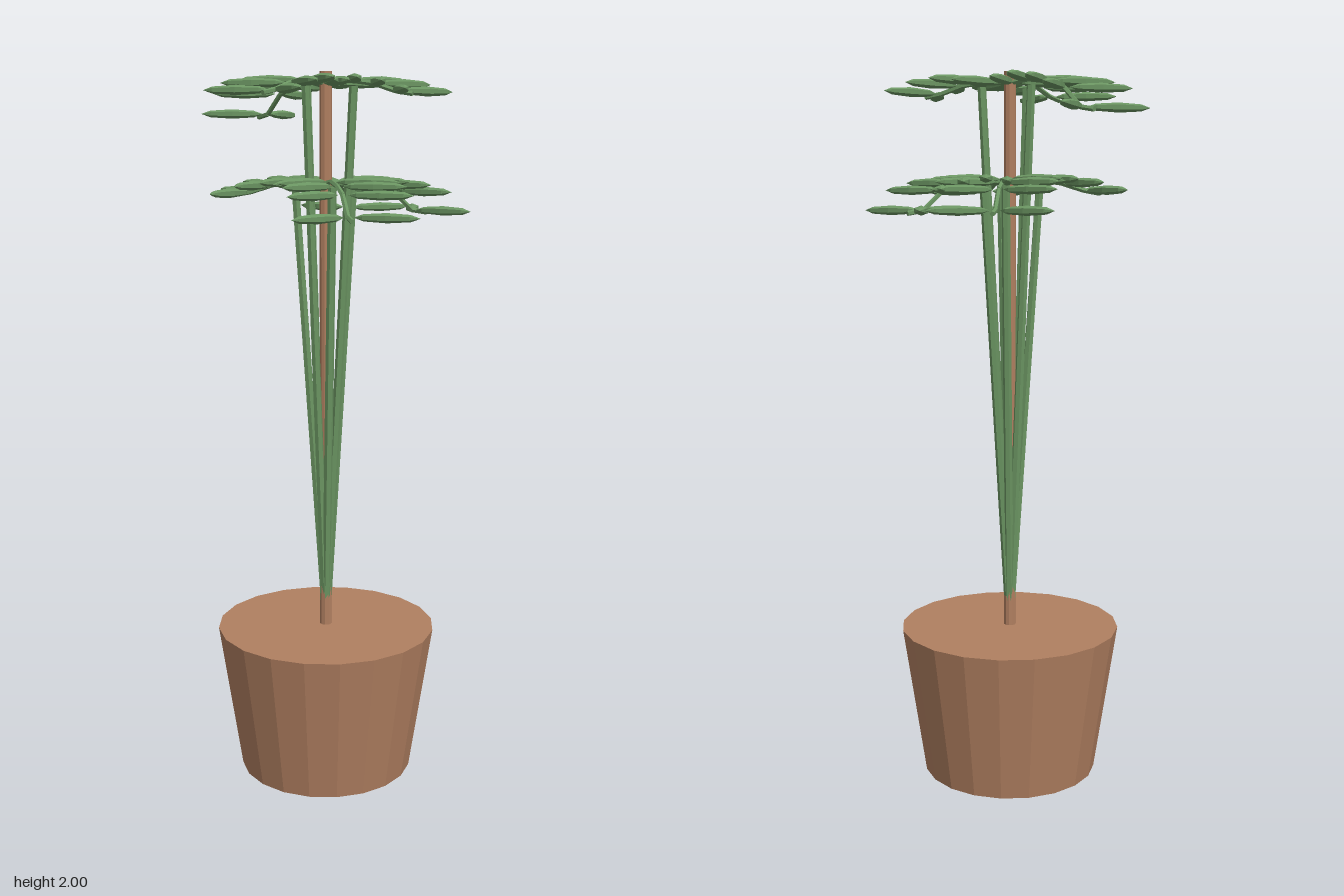
import * as THREE from 'three';

const green = new THREE.MeshStandardMaterial({ color: 0x6b9562, flatShading: true });
green.name = 'leaf green';
const clay = new THREE.MeshStandardMaterial({ color: 0xb07f60, flatShading: true });
clay.name = 'clay brown';

const POT_HEIGHT = 0.43;

// Straight rod between two points
function rod(name, a, b, radius, sides, material) {
  const geometry = new THREE.CylinderGeometry(radius, radius, a.distanceTo(b), sides);
  const mesh = new THREE.Mesh(geometry, material);
  mesh.name = name;
  mesh.position.copy(a).add(b).multiplyScalar(0.5);
  mesh.quaternion.setFromUnitVectors(new THREE.Vector3(0, 1, 0), b.clone().sub(a).normalize());
  return mesh;
}

// Faceted leaflet lying along +x, starting just off the midrib
const leafGeometry = new THREE.SphereGeometry(1, 6, 4);
leafGeometry.rotateZ(-Math.PI / 2);
leafGeometry.scale(0.088, 0.013, 0.021);
leafGeometry.translate(0.103, 0, 0);

// Radius and drop of the midrib joints that carry leaflet pairs
const joints = [[0.01, 0], [0.075, 0.005], [0.142, -0.004], [0.206, -0.024], [0.268, -0.078]];

// One frond pointing along +x: stem, drooping midrib, leaflet pairs
function frond(top, pairs) {
  const group = new THREE.Group();
  group.name = 'frond';
  group.add(rod('stem', new THREE.Vector3(0, POT_HEIGHT, 0), new THREE.Vector3(0.083, top - 0.01, 0), 0.012, 6, green));
  const used = joints.slice(0, pairs);
  const last = used[pairs - 1];
  const path = [...used, [last[0] + 0.048, last[1] - 0.008]].map(([r, d]) => new THREE.Vector3(r, top + d, 0));
  for (let i = 0; i < pairs; i++) {
    group.add(rod('midrib', path[i], path[i + 1], 0.007, 5, green));
    for (const side of [-1, 1]) {
      const leaf = new THREE.Mesh(leafGeometry, green);
      leaf.name = 'leaflet';
      leaf.position.copy(path[i]);
      leaf.rotation.y = side * Math.PI / 3;
      group.add(leaf);
    }
  }
  return group;
}

export function createModel() {
  const model = new THREE.Group();
  model.name = 'pottedPalm';
  const plant = new THREE.Group();
  plant.name = 'plant';
  plant.position.x = -0.01;
  model.add(plant);

  // Tapered pot
  const pot = new THREE.Mesh(new THREE.CylinderGeometry(0.315, 0.25, POT_HEIGHT, 20), clay);
  pot.name = 'pot';
  pot.position.y = POT_HEIGHT / 2;
  plant.add(pot);

  // Trunk
  plant.add(rod('trunk', new THREE.Vector3(0, POT_HEIGHT - 0.02, 0), new THREE.Vector3(0, 2, 0), 0.017, 10, clay));

  // Seven fronds in two tiers: [high tier, leaflet pairs]
  const fronds = [[false, 5], [false, 5], [true, 5], [false, 4], [true, 4], [false, 5], [true, 4]];
  fronds.forEach(([high, pairs], i) => {
    const f = frond(high ? 1.97 : 1.705, pairs);
    f.rotation.y = (i * Math.PI * 2) / 7;
    plant.add(f);
  });
  return model;
}
